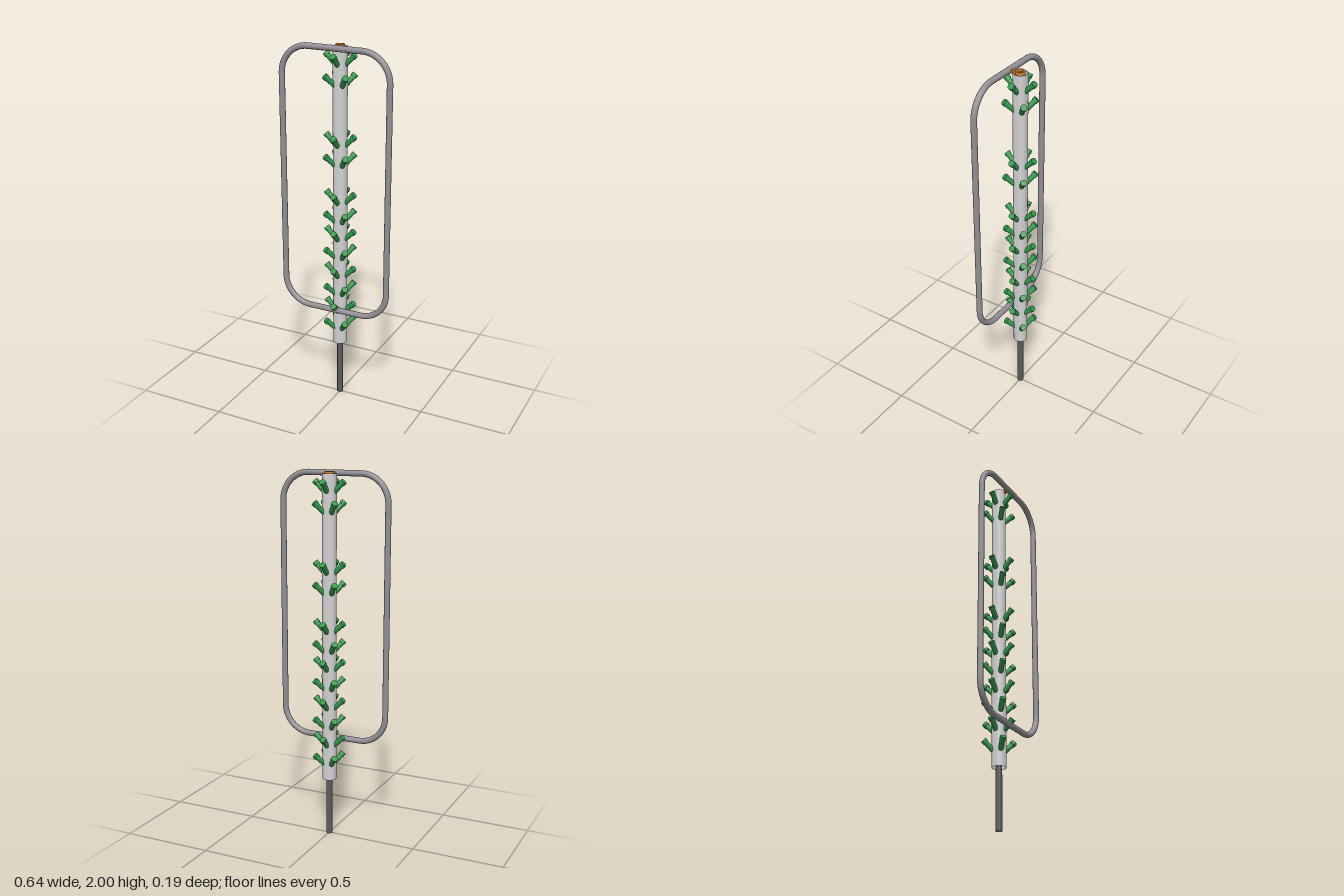
import * as THREE from 'three';
import { toCreasedNormals } from 'three/addons/utils/BufferGeometryUtils.js';

const mat = (name, color) => {
  const m = new THREE.MeshStandardMaterial({ color });
  m.name = name;
  return m;
};

// Hollow pipe standing on y0, with sharp rims
function pipe(outer, inner, y0, y1, sides = 32) {
  const p = [[outer, y0], [outer, y1], [inner, y1], [inner, y0], [outer, y0]];
  const g = new THREE.LatheGeometry(p.map(([r, y]) => new THREE.Vector2(r, y)), sides);
  return toCreasedNormals(g, 0.7);
}

// Closed rounded rectangle in the xy plane
function frameCurve(hw, y0, y1, r) {
  const path = new THREE.CurvePath();
  const cy = (y0 + y1) / 2, hh = (y1 - y0) / 2, k = r * (1 - 0.5523);
  const v = (x, y) => new THREE.Vector3(x, cy + y, 0);
  const corners = [[1, 1], [-1, 1], [-1, -1], [1, -1]];
  let last = v(hw, -hh + r);
  corners.forEach(([sx, sy], i) => {
    const side = [v(sx * hw, sy * (hh - r)), v(sx * hw, sy * (hh - k))];
    const flat = [v(sx * (hw - r), sy * hh), v(sx * (hw - k), sy * hh)];
    const [a, b] = i % 2 === 0 ? [side, flat] : [flat, side];
    path.add(new THREE.LineCurve3(last, a[0]));
    path.add(new THREE.CubicBezierCurve3(a[0], a[1], b[1], b[0]));
    last = b[0];
  });
  return path;
}

export function createModel() {
  const model = new THREE.Group();
  const white = mat('pale grey', 0xd2d2d2);
  const steel = mat('frame grey', 0x929095);
  const dark = mat('dark grey', 0x5c5c5c);
  const green = mat('green', 0x31984a);
  const orange = mat('orange', 0xd9842b);

  const add = (parent, name, geometry, material) => {
    const mesh = new THREE.Mesh(geometry, material);
    mesh.name = name;
    parent.add(mesh);
    return mesh;
  };

  // Inner pole and the wider column around it
  add(model, 'innerPole', pipe(0.017, 0.0155, 0, 1.985), dark);
  add(model, 'column', pipe(0.0385, 0.0365, 0.325, 1.985), white);

  // Rounded frame in front of the column
  const tube = new THREE.TubeGeometry(frameCurve(0.302, 0.546, 1.984, 0.15), 220, 0.016, 14, true);
  add(model, 'frame', tube, steel).position.z = 0.063;

  // Collars on the pole, with arms reaching to the frame
  for (const y of [0.546, 1.981]) {
    const clamp = new THREE.Group();
    clamp.name = 'frameClamp';
    clamp.position.y = y;
    add(clamp, 'collar', pipe(0.024, 0.0165, -0.014, 0.014, 24), orange);
    const arm = add(clamp, 'arm', new THREE.BoxGeometry(0.017, 0.02, 0.036), orange);
    arm.position.z = 0.038;
    model.add(clamp);
  }

  // Upward-slanting pockets: a stem with a wider rim, tip at the local origin
  const stemLength = 0.074, rimLength = 0.018;
  const stem = new THREE.CylinderGeometry(0.0135, 0.0135, stemLength, 20);
  stem.translate(0, -stemLength / 2, 0);
  const rim = new THREE.CylinderGeometry(0.017, 0.017, rimLength, 20);
  rim.translate(0, -rimLength / 2 + 0.0005, 0);

  const addRing = (tipY, turn) => {
    const ring = new THREE.Group();
    ring.name = 'pocketRing';
    ring.position.y = tipY;
    for (let i = 0; i < 4; i++) {
      const spoke = new THREE.Group();
      spoke.name = 'pocketSpoke';
      spoke.rotation.y = turn + i * Math.PI / 2;
      const pocket = new THREE.Group();
      pocket.name = 'pocket';
      pocket.position.z = 0.082;
      pocket.rotation.x = Math.PI / 4;
      add(pocket, 'stem', stem, green);
      add(pocket, 'rim', rim, green);
      spoke.add(pocket);
      ring.add(spoke);
    }
    model.add(ring);
  };

  // Each tier has a straight ring and a diagonal ring below it
  for (const y of [1.946, 1.524, 1.209, 1.001, 0.785, 0.574]) {
    addRing(y, 0);
    addRing(y - 0.108, Math.PI / 4);
  }

  return model;
}
